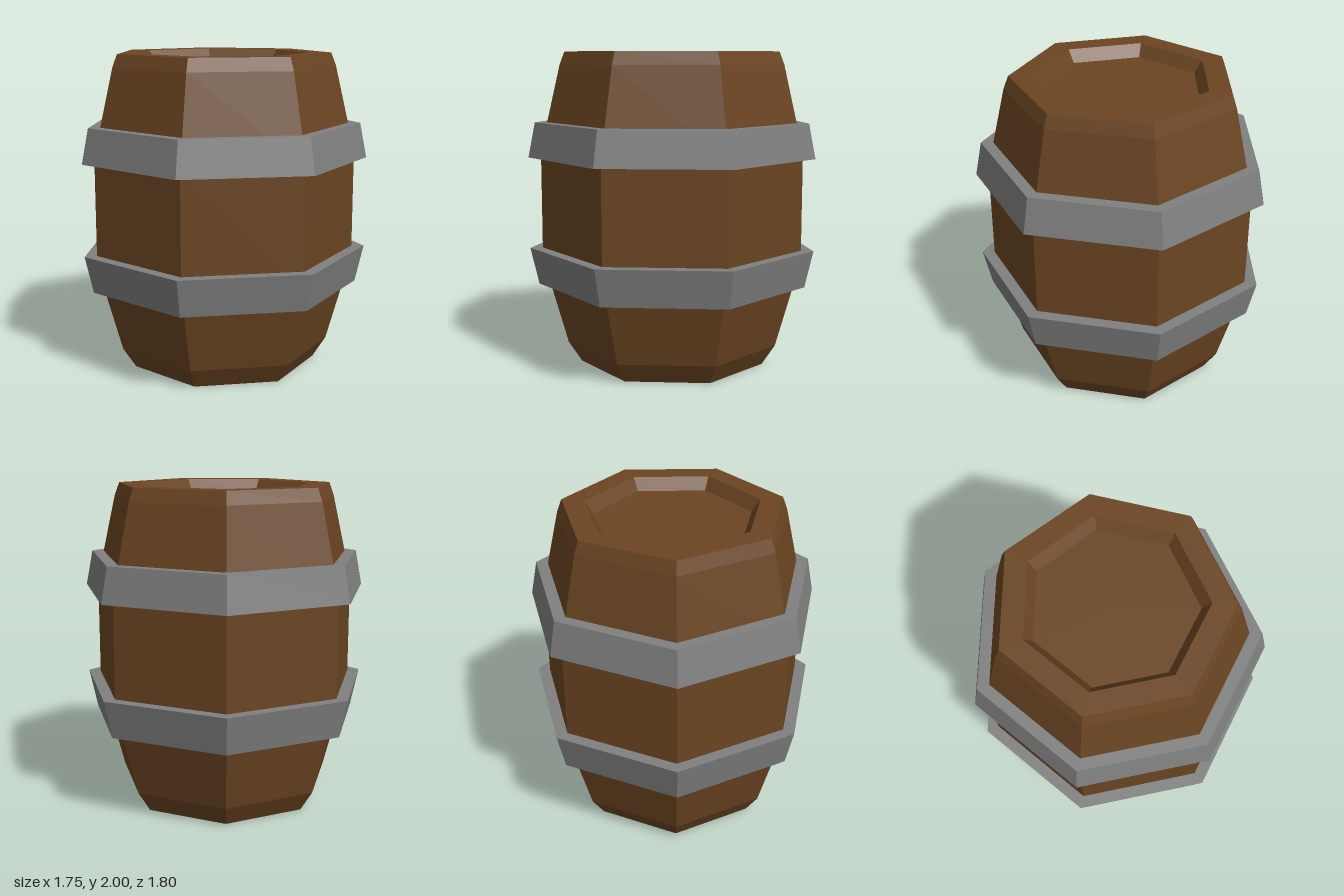
import * as THREE from 'three';

const SIDES = 7;

// Seven-sided lathe with one corner pointing along +x
function turned(name, profile, material) {
  const points = profile.map(([r, y]) => new THREE.Vector2(r, y));
  const mesh = new THREE.Mesh(new THREE.LatheGeometry(points, SIDES, Math.PI / 2), material);
  mesh.name = name;
  return mesh;
}

export function createModel() {
  const wood = new THREE.MeshStandardMaterial({ color: 0x6b4522, flatShading: true });
  const metal = new THREE.MeshStandardMaterial({ color: 0x808080, flatShading: true });

  const barrel = new THREE.Group();
  barrel.name = 'barrel';

  // Wooden body: recessed base, bulging staves, recessed lid
  barrel.add(turned('body', [
    [0, 0.08], [0.41, 0.08], [0.46, 0], [0.602, 0],
    [0.686, 0.13], [0.842, 0.69], [0.842, 1.38], [0.716, 1.92],
    [0.685, 2], [0.543, 2], [0.49, 1.925], [0, 1.925],
  ], wood));

  // Metal hoops, tapering away from the middle of the barrel
  const hoop = (name, y0, r0, y1, r1) => turned(name, [
    [0.76, y0], [r0, y0], [r1, y1], [0.76, y1], [0.76, y0],
  ], metal);
  barrel.add(hoop('lowerHoop', 0.525, 0.868, 0.76, 0.921));
  barrel.add(hoop('upperHoop', 1.34, 0.921, 1.56, 0.877));

  // Centre the odd-sided outline on x = 0
  barrel.position.x = -0.046;

  const model = new THREE.Group();
  model.add(barrel);
  return model;
}
